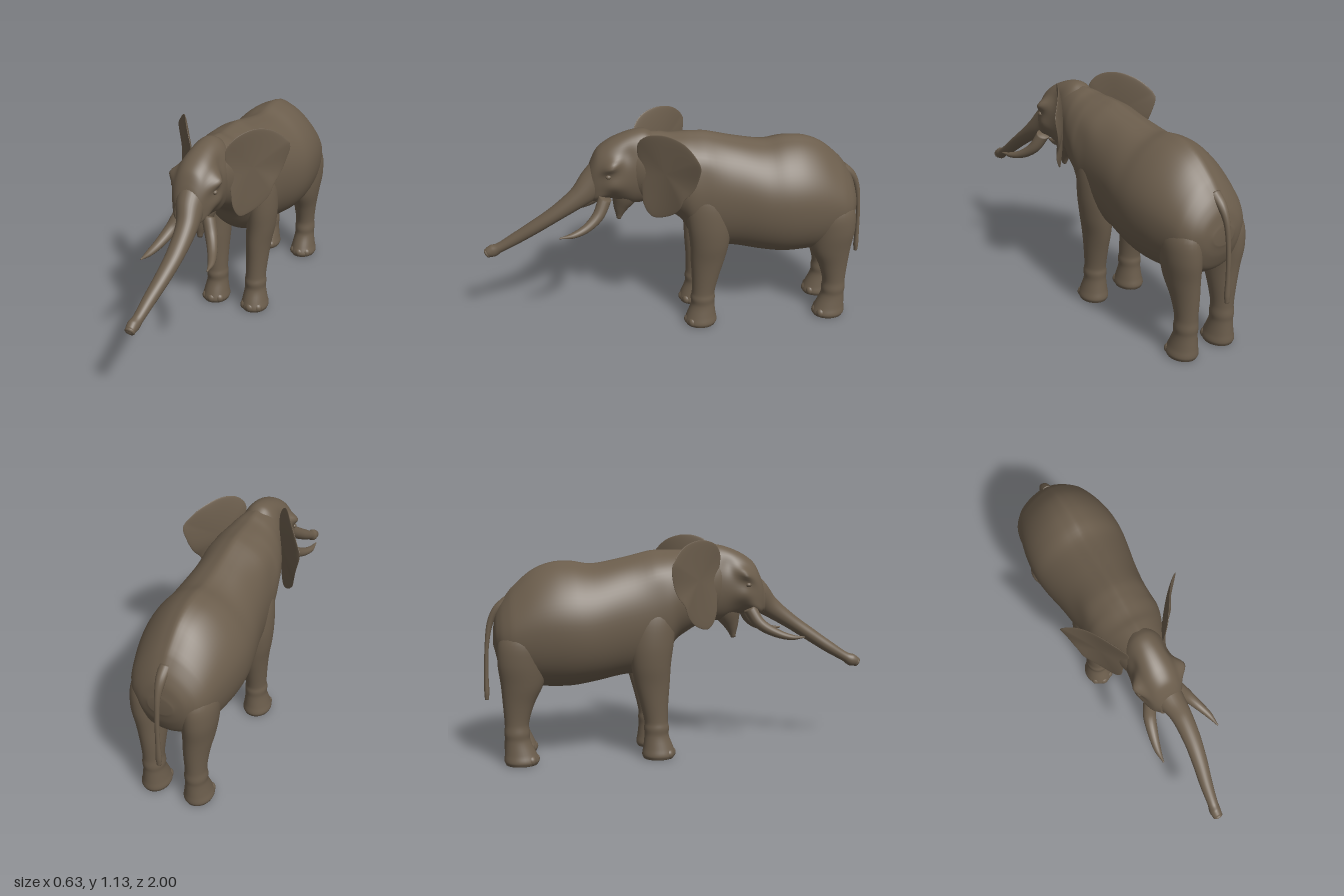
import * as THREE from 'three';

const hide = new THREE.MeshStandardMaterial({ color: 0x6b5d4c });
hide.name = 'greyBrownHide';

// Closed smooth surface: rows along v, rings around u (wrapped without a seam)
function surface(rows, ring, point) {
  const pos = [], index = [];
  for (let j = 0; j <= rows; j++)
    for (let i = 0; i < ring; i++) pos.push(...point((i / ring) * Math.PI * 2, j / rows));
  for (let j = 0; j < rows; j++)
    for (let i = 0; i < ring; i++) {
      const a = j * ring + i, b = j * ring + (i + 1) % ring, c = a + ring, d = b + ring;
      index.push(a, b, d, a, d, c);
    }
  // Keep faces pointing outward
  const p = (k) => new THREE.Vector3().fromArray(pos, k * 3);
  let volume = 0;
  for (let k = 0; k < index.length; k += 3)
    volume += p(index[k]).dot(p(index[k + 1]).cross(p(index[k + 2])));
  if (volume < 0) index.reverse();
  const g = new THREE.BufferGeometry();
  g.setAttribute('position', new THREE.Float32BufferAttribute(pos, 3));
  g.setIndex(index);
  g.computeVertexNormals();
  return g;
}

// Loft through sections [x, y, z, radiusX, radiusUp]; up is fixed or follows the path.
// shape(angle, centre) returns the width and height factors that model each ring.
function loft(sections, { up = null, rows = 48, ring = 32, n = 2, shape = () => [1, 1] } = {}) {
  const path = new THREE.CatmullRomCurve3(sections.map((s) => new THREE.Vector3(s[0], s[1], s[2])), false, 'centripetal');
  const size = new THREE.SplineCurve(sections.map((s) => new THREE.Vector2(s[3], s[4])));
  const X = new THREE.Vector3(1, 0, 0), total = rows + 2;
  return surface(total, ring, (u, v) => {
    const row = Math.round(v * total);
    const t = THREE.MathUtils.clamp((row - 1) / rows, 0, 1);
    const cap = row === 0 || row === total ? 0 : 1;
    const c = path.getPoint(t), r = size.getPoint(t);
    const U = up || path.getTangent(t).cross(X).normalize();
    const round = (k) => Math.sign(k) * Math.abs(k) ** (2 / n);
    const [w, h] = shape(u, c);
    const q = c.addScaledVector(X, cap * r.x * w * round(Math.cos(u)))
      .addScaledVector(U, cap * r.y * h * round(Math.sin(u)));
    return [q.x, q.y, q.z];
  });
}

const Y = new THREE.Vector3(0, 1, 0), Z = new THREE.Vector3(0, 0, 1);
// Section from z, top, bottom and half width
const slice = ([z, top, bottom, half]) => [0, (top + bottom) / 2, z, half, (top - bottom) / 2];
// Height angle on either flank, and a soft swelling around a value
const flank = (u) => Math.atan2(Math.sin(u), Math.abs(Math.cos(u)));
const swell = (a, at, spread) => Math.exp(-(((a - at) / spread) ** 2));

// Back narrows towards a spine ridge; shoulder blades swell a little
function bodyShape(u, c) {
  const f = flank(u), rump = THREE.MathUtils.smoothstep(-c.z, 0.3, 0.8);
  const taper = (0.1 + 0.22 * rump) * Math.max(0, Math.sin(u)) ** 2;
  const blade = 0.07 * swell(f, 0.75, 0.3) * swell(c.z, -0.12, 0.08);
  return [1 - taper + blade, 1 + 0.03 * swell(f, Math.PI / 2, 0.13) + blade * 0.3];
}

// Brow, cheekbone, hollow temple and tusk socket
function headShape(u, c) {
  const f = flank(u);
  const w = 0.36 * swell(f, 0.36, 0.2) * swell(c.z, 0.34, 0.045)
    + 0.16 * swell(f, -0.3, 0.3) * swell(c.z, 0.33, 0.06)
    - 0.1 * swell(f, 0.55, 0.3) * swell(c.z, 0.25, 0.04)
    + 0.2 * swell(f, -0.75, 0.3) * swell(c.z, 0.4, 0.05);
  return [1 + w, 1];
}

export function createModel() {
  const model = new THREE.Group();
  model.name = 'elephant';
  const add = (name, geometry) => {
    const m = new THREE.Mesh(geometry, hide);
    m.name = name;
    model.add(m);
    return m;
  };
  const lump = (name, x, y, z, rx, ry, rz) => {
    const m = add(name, new THREE.SphereGeometry(1, 24, 16));
    m.position.set(x, y, z);
    m.scale.set(rx, ry, rz);
  };

  // Rump to neck
  add('body', loft([
    [-0.945, 0.69, 0.6, 0.06], [-0.93, 0.76, 0.54, 0.115], [-0.9, 0.82, 0.47, 0.165],
    [-0.85, 0.885, 0.43, 0.2], [-0.75, 0.97, 0.395, 0.23], [-0.65, 1.01, 0.385, 0.25],
    [-0.55, 1.015, 0.385, 0.257], [-0.45, 1.0, 0.4, 0.247], [-0.3, 1.025, 0.43, 0.218],
    [-0.15, 1.06, 0.45, 0.198], [-0.07, 1.065, 0.51, 0.195], [-0.02, 1.065, 0.6, 0.19],
    [0.04, 1.065, 0.645, 0.175], [0.1, 1.075, 0.68, 0.15], [0.2, 1.07, 0.73, 0.115], [0.27, 1.03, 0.77, 0.09],
  ].map(slice), { up: Y, rows: 70, ring: 72, n: 2.1, shape: bodyShape }));

  // Head
  add('head', loft([
    [0.1, 1.07, 0.76, 0.085], [0.16, 1.095, 0.71, 0.105], [0.22, 1.092, 0.7, 0.11],
    [0.29, 1.07, 0.72, 0.112], [0.35, 1.04, 0.735, 0.108], [0.4, 1.0, 0.725, 0.093],
    [0.43, 0.945, 0.72, 0.077], [0.46, 0.87, 0.735, 0.05],
  ].map(slice), { up: Y, rows: 60, ring: 72, n: 2.15, shape: headShape }));
  add('lowerJaw', loft([
    [0, 0.79, 0.255, 0.08, 0.085], [0, 0.73, 0.27, 0.065, 0.066],
    [0, 0.67, 0.288, 0.038, 0.038], [0, 0.605, 0.3, 0.012, 0.012],
  ], { rows: 20 }));

  // Trunk with a flared tip
  add('trunk', loft([
    [0, 0.88, 0.34, 0.085, 0.1], [0.012, 0.825, 0.42, 0.072, 0.082], [0.035, 0.76, 0.5, 0.054, 0.056],
    [0.04, 0.675, 0.62, 0.045, 0.04], [0.03, 0.6, 0.73, 0.039, 0.035], [0.015, 0.533, 0.83, 0.033, 0.031],
    [0.005, 0.478, 0.92, 0.027, 0.026], [0, 0.46, 0.955, 0.029, 0.033], [0, 0.452, 0.985, 0.024, 0.024],
    [0, 0.45, 0.998, 0.012, 0.012],
  ], { rows: 60 }));
  const tip = add('trunkTip', new THREE.TorusGeometry(0.017, 0.009, 10, 24));
  tip.position.set(0, 0.447, 0.985);
  tip.rotation.x = 0.5;

  // Tusks, slightly uneven
  add('rightTusk', loft([
    [-0.06, 0.77, 0.37, 0.036, 0.034], [-0.09, 0.69, 0.42, 0.034, 0.03], [-0.112, 0.642, 0.5, 0.027, 0.023],
    [-0.128, 0.618, 0.58, 0.018, 0.015], [-0.133, 0.617, 0.65, 0.004, 0.004],
  ], { ring: 20 }));
  add('leftTusk', loft([
    [0.085, 0.77, 0.37, 0.036, 0.034], [0.12, 0.69, 0.41, 0.034, 0.03], [0.155, 0.642, 0.47, 0.027, 0.023],
    [0.185, 0.62, 0.54, 0.018, 0.015], [0.2, 0.615, 0.61, 0.004, 0.004],
  ], { ring: 20 }));

  // Tail
  add('tail', loft([
    [0, 0.83, -0.87, 0.03, 0.025], [0, 0.785, -0.922, 0.025, 0.022], [0, 0.72, -0.957, 0.016, 0.016],
    [0, 0.6, -0.978, 0.012, 0.011], [0, 0.45, -0.985, 0.012, 0.011], [0, 0.36, -0.986, 0.016, 0.013],
    [0, 0.32, -0.987, 0.012, 0.01],
  ], { ring: 16 }));

  // Leg profiles for the +x side: x, y, z, half width, half depth
  const frontLeg = [
    [0.1, 0.9, -0.11, 0.04, 0.05], [0.122, 0.76, -0.14, 0.074, 0.115], [0.134, 0.62, -0.155, 0.077, 0.115],
    [0.13, 0.5, -0.157, 0.074, 0.102], [0.122, 0.4, -0.15, 0.065, 0.09], [0.118, 0.3, -0.14, 0.058, 0.073],
    [0.115, 0.2, -0.13, 0.054, 0.061], [0.115, 0.165, -0.128, 0.058, 0.065], [0.115, 0.125, -0.128, 0.056, 0.063],
    [0.117, 0.06, -0.12, 0.067, 0.078], [0.118, 0.025, -0.118, 0.074, 0.086], [0.118, 0.006, -0.118, 0.067, 0.078],
  ];
  const rearLeg = [
    [0.09, 0.78, -0.76, 0.05, 0.07], [0.122, 0.66, -0.785, 0.088, 0.128], [0.132, 0.54, -0.805, 0.084, 0.122],
    [0.124, 0.42, -0.808, 0.074, 0.106], [0.117, 0.32, -0.828, 0.062, 0.079], [0.115, 0.22, -0.84, 0.053, 0.061],
    [0.115, 0.17, -0.84, 0.057, 0.064], [0.115, 0.13, -0.838, 0.055, 0.063], [0.116, 0.06, -0.825, 0.066, 0.08],
    [0.117, 0.025, -0.82, 0.074, 0.088], [0.117, 0.006, -0.82, 0.067, 0.08],
  ];

  // Ear outline in x and y, swept back with x
  const outline = new THREE.CatmullRomCurve3([
    [0.1, 1.06], [0.135, 1.115], [0.19, 1.133], [0.25, 1.11], [0.295, 1.055], [0.311, 1.015], [0.302, 0.94],
    [0.282, 0.865], [0.257, 0.815], [0.24, 0.755], [0.2, 0.7], [0.15, 0.677], [0.122, 0.73], [0.112, 0.85], [0.1, 0.96],
  ].map(([x, y]) => new THREE.Vector3(x, y, 0)), true);

  for (const [side, s] of [['left', 1], ['right', -1]]) {
    const mirror = (list) => list.map(([x, ...rest]) => [s * x, ...rest]);
    add(side + 'FrontLeg', loft(mirror(frontLeg), { up: Z }));
    add(side + 'RearLeg', loft(mirror(rearLeg), { up: Z }));

    // Toes fanned around the front of each foot
    for (const [end, z] of [['Front', -0.118], ['Rear', -0.82]])
      for (let k = -1; k <= 1; k++) {
        const a = k * 0.75;
        lump(side + end + 'Toe', s * 0.117 + 0.055 * Math.sin(a), 0.03, z + 0.066 * Math.cos(a), 0.026, 0.027, 0.024);
      }

    // Thin cupped ear with a wavy surface
    add(side + 'Ear', surface(40, 64, (u, v) => {
      const rim = outline.getPoint(u / (Math.PI * 2)), rho = Math.sin(Math.PI * v);
      const x = 0.19 + (rim.x - 0.19) * rho, y = 0.93 + (rim.y - 0.93) * rho;
      const off = 0.011 * Math.cos(Math.PI * v) - 0.014 * (1 - rho * rho) + 0.006 * Math.sin(u * 4) * rho * rho;
      return [s * (x + 0.8 * off), y, 0.19 - 1.35 * (x - 0.11) + 0.6 * off];
    }));

    lump(side + 'Eye', s * 0.112, 0.895, 0.352, 0.014, 0.012, 0.015);
  }
  return model;
}
